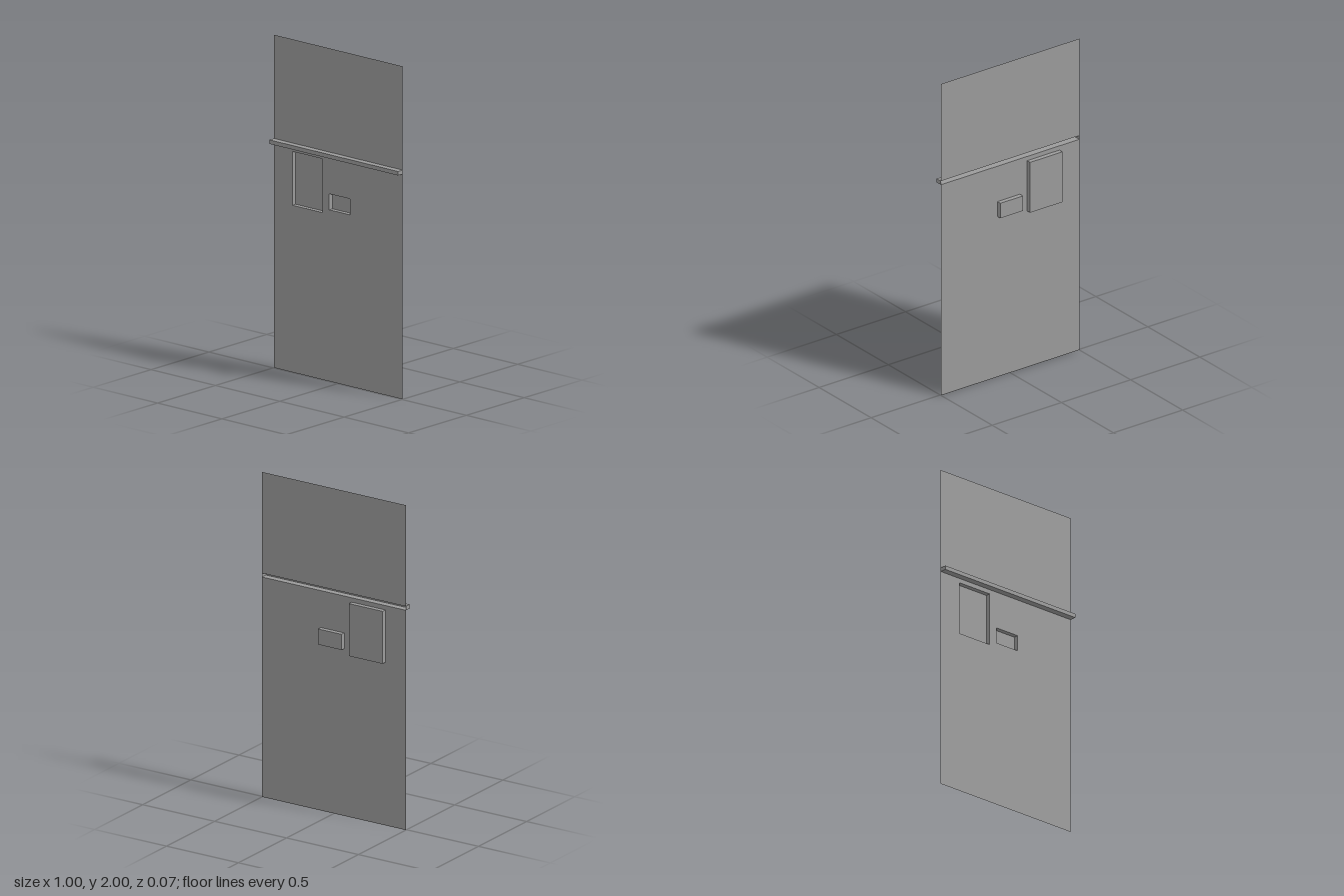
import * as THREE from 'three';

const material = new THREE.MeshStandardMaterial({ color: 0x9b9b9b, side: THREE.DoubleSide, flatShading: true });
const SHEET_Z = -0.006, FRONT = 0.034, BACK = -0.035;

// Outlines as [left, right, bottom, top]
const largeWindow = [-0.357, -0.123, 1.003, 1.326];
const smallWindow = [-0.071, 0.092, 1.03, 1.126];
const ledge = [-0.5, 0.5, 1.353, 1.377];

function trace(path, [l, r, b, t]) {
  path.moveTo(l, b);
  path.lineTo(r, b);
  path.lineTo(r, t);
  path.lineTo(l, t);
  path.closePath();
  return path;
}

// Flat sheet with rectangular openings
function panel(name, outline, openings = []) {
  const shape = trace(new THREE.Shape(), outline);
  for (const o of openings) shape.holes.push(trace(new THREE.Path(), o));
  const mesh = new THREE.Mesh(new THREE.ShapeGeometry(shape), material);
  mesh.position.z = SHEET_Z;
  mesh.name = name;
  return mesh;
}

// Five-sided pressing, open where it meets the sheet
function pressing(name, [l, r, b, t], endZ) {
  const geometry = new THREE.BoxGeometry(r - l, t - b, Math.abs(endZ - SHEET_Z));
  const openFace = endZ > SHEET_Z ? 5 : 4; // box faces: +x -x +y -y +z -z
  const index = Array.from(geometry.index.array);
  index.splice(openFace * 6, 6);
  geometry.setIndex(index);
  geometry.clearGroups();
  const mesh = new THREE.Mesh(geometry, material);
  mesh.position.set((l + r) / 2, (b + t) / 2, (endZ + SHEET_Z) / 2);
  mesh.name = name;
  return mesh;
}

export function createModel() {
  const model = new THREE.Group();
  model.name = 'wallPanel';
  model.add(
    panel('lowerPanel', [-0.5, 0.5, 0, ledge[2]], [largeWindow, smallWindow]),
    panel('upperPanel', [-0.5, 0.5, ledge[3], 2]),
    pressing('ledge', ledge, FRONT),
    pressing('largeRecess', largeWindow, BACK),
    pressing('smallRecess', smallWindow, BACK)
  );
  return model;
}
